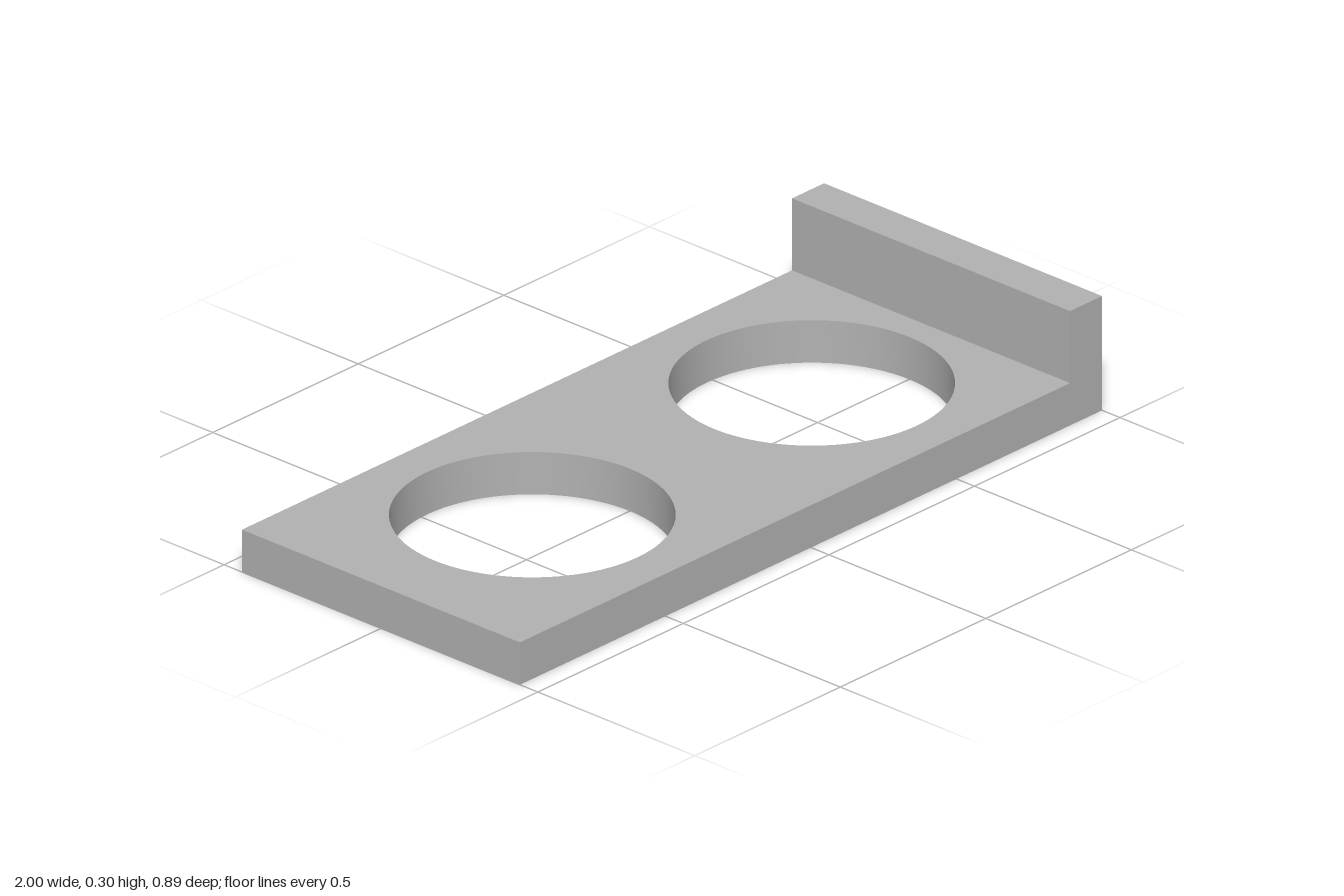
import * as THREE from 'three';
import { toCreasedNormals } from 'three/addons/utils/BufferGeometryUtils.js';

const LENGTH = 2, DEPTH = 0.886, THICKNESS = 0.11;
const LIP_WIDTH = 0.11, HEIGHT = 0.297;
const HOLE_X = 0.48, HOLE_RADIUS = 0.335;

export function createModel() {
  const model = new THREE.Group();
  model.name = 'twoHoleHolder';
  const grey = new THREE.MeshStandardMaterial({ color: 0xb2b2b2 });
  grey.name = 'grey';

  // Flat plate with two round openings
  const x = LENGTH / 2, z = DEPTH / 2;
  const outline = new THREE.Shape([
    new THREE.Vector2(-x, -z), new THREE.Vector2(x, -z),
    new THREE.Vector2(x, z), new THREE.Vector2(-x, z),
  ]);
  for (const side of [-1, 1]) {
    const hole = new THREE.Path();
    hole.absarc(side * HOLE_X, 0, HOLE_RADIUS, 0, Math.PI * 2, true);
    outline.holes.push(hole);
  }
  const plateGeometry = new THREE.ExtrudeGeometry(outline, {
    depth: THICKNESS, bevelEnabled: false, curveSegments: 64,
  });
  plateGeometry.rotateX(-Math.PI / 2);
  const plate = new THREE.Mesh(toCreasedNormals(plateGeometry, Math.PI / 6), grey);
  plate.name = 'plate';
  model.add(plate);

  // Upright lip along the left end
  const lipHeight = HEIGHT - THICKNESS;
  const lip = new THREE.Mesh(new THREE.BoxGeometry(LIP_WIDTH, lipHeight, DEPTH), grey);
  lip.name = 'endLip';
  lip.position.set(x - LIP_WIDTH / 2, THICKNESS + lipHeight / 2, 0);
  model.add(lip);

  return model;
}
